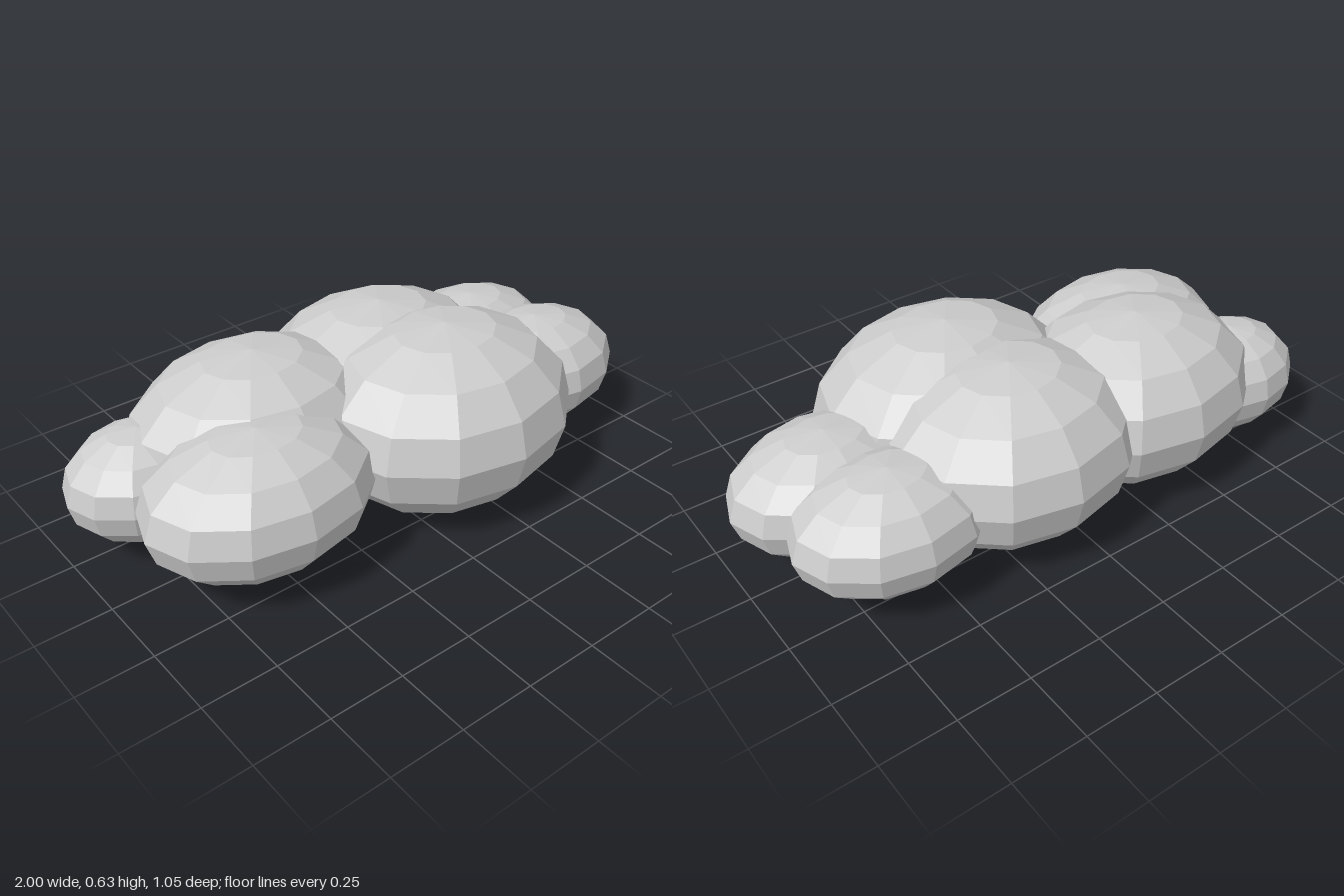
import * as THREE from 'three';

// Low-poly cloud: overlapping faceted puffs, each a stretched sphere.
export function createModel() {
  const cloud = new THREE.Group();
  cloud.name = 'cloud';
  const cloudGrey = new THREE.MeshStandardMaterial({ color: 0xcccccc });
  cloudGrey.name = 'cloudGrey';

  // name, centre, radii
  const puffs = [
    ['frontMainPuff', [0.18, 0.315, 0.135], [0.458, 0.314, 0.39]],
    ['backMainPuff', [0.14, 0.31, -0.15], [0.44, 0.298, 0.376]],
    ['backRightPuff', [-0.365, 0.31, -0.147], [0.44, 0.29, 0.358]],
    ['frontRightPuff', [-0.535, 0.287, 0.12], [0.39, 0.232, 0.292]],
    ['backRightEndPuff', [-0.745, 0.25, -0.217], [0.255, 0.187, 0.208]],
    ['frontLeftEndPuff', [0.67, 0.265, 0.06], [0.33, 0.197, 0.247]],
    ['backLeftEndPuff', [0.61, 0.265, -0.205], [0.325, 0.197, 0.247]],
  ];

  for (const [name, centre, radii] of puffs) {
    // Stretch first, then recompute unshared normals so every facet is flat.
    const geometry = new THREE.SphereGeometry(1, 12, 8).scale(...radii).toNonIndexed();
    geometry.computeVertexNormals();
    const puff = new THREE.Mesh(geometry, cloudGrey);
    puff.name = name;
    puff.position.set(...centre);
    cloud.add(puff);
  }
  return cloud;
}
